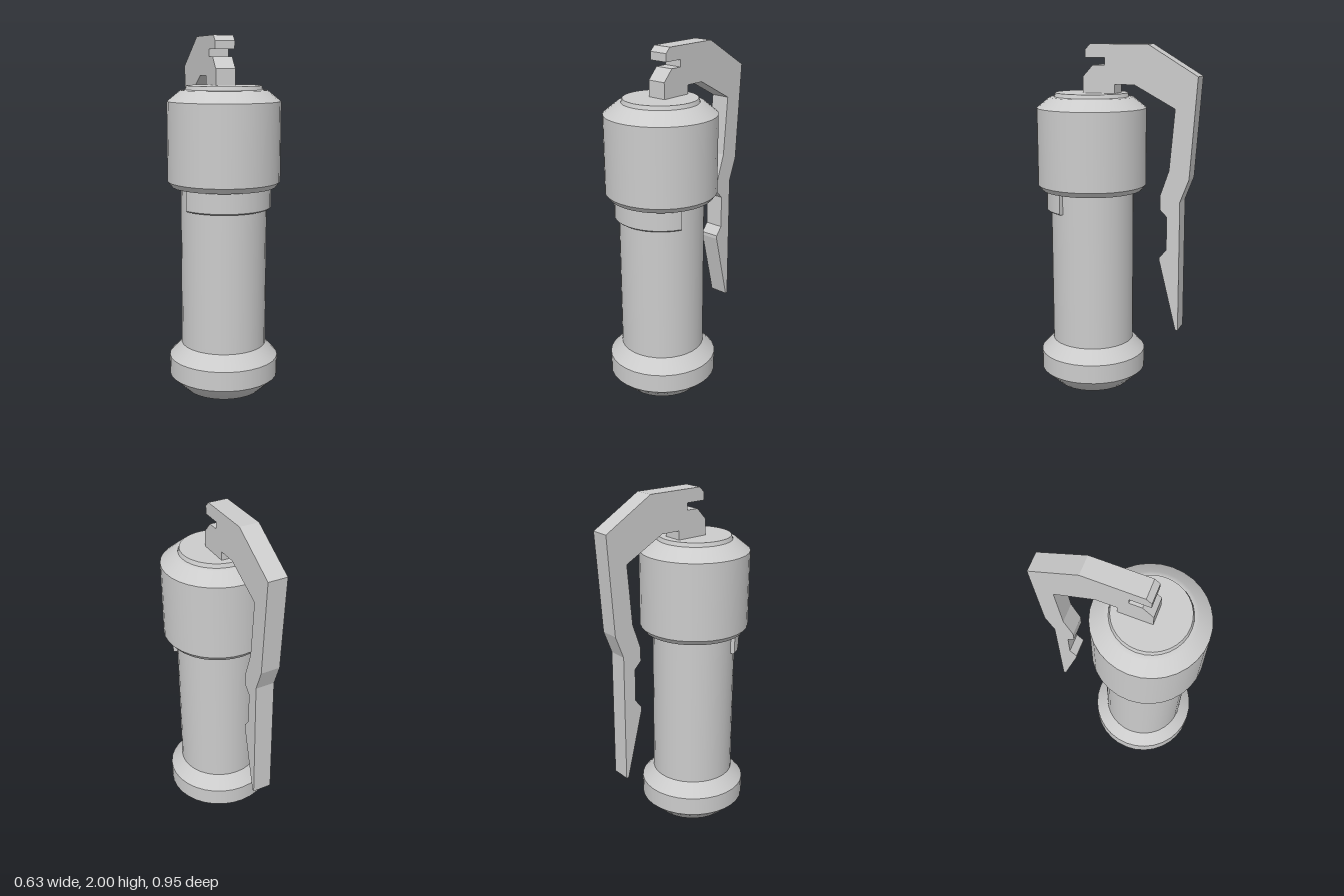
import * as THREE from 'three';
import { mergeGeometries } from 'three/addons/utils/BufferGeometryUtils.js';

const SIDES = 32;
const AXIS_Z = 0.16; // the round body sits forward of the lever

const material = new THREE.MeshStandardMaterial({ color: 0xcccccc });
const thinMaterial = new THREE.MeshStandardMaterial({ color: 0xcccccc, side: THREE.DoubleSide });

// Revolve several profile strips; each is smooth inside, with sharp edges between strips
function revolve(strips, sides = SIDES, start = 0, sweep = Math.PI * 2) {
  return mergeGeometries(strips.map((strip) =>
    new THREE.LatheGeometry(strip.map(([r, y]) => new THREE.Vector2(r, y)), sides, start, sweep)));
}

// Split a profile into single hard-edged strips
const hard = (profile) => profile.slice(1).map((p, i) => [profile[i], p]);

function outline(points) {
  return new THREE.Shape(points.map(([x, y]) => new THREE.Vector2(x, y)));
}

export function createModel() {
  const model = new THREE.Group();
  const add = (name, geometry, mat = material) => {
    const mesh = new THREE.Mesh(geometry, mat);
    mesh.name = name;
    model.add(mesh);
    return mesh;
  };

  // Foot: rounded-looking underside, straight rim, shoulder up to the tube
  add('base', revolve([
    [[0, 0], [0.22, 0], [0.31, 0.085]],
    ...hard([[0.31, 0.085], [0.31, 0.195], [0.24, 0.27]]),
  ])).position.z = AXIS_Z;

  add('tube', revolve([[[0.24, 0.27], [0.24, 1.175]]])).position.z = AXIS_Z;

  // Wide head with chamfered lower and upper rims
  add('head', revolve([
    ...hard([[0.24, 1.175], [0.29, 1.175], [0.314, 1.205], [0.314, 1.645]]),
    [[0.314, 1.645], [0.24, 1.705], [0.215, 1.708]],
  ])).position.z = AXIS_Z;

  add('topDisc', revolve(hard([[0.215, 1.705], [0.207, 1.73], [0, 1.73]]))).position.z = AXIS_Z;

  // Partial collar around the front, below the head
  const collarProfile = [[0.235, 1.055], [0.258, 1.055], [0.265, 1.062], [0.265, 1.176], [0.235, 1.176]];
  const half = (Math.PI * 2 / SIDES) * 6;
  add('collar', revolve(hard(collarProfile), 12, -half, half * 2)).position.z = AXIS_Z;
  for (const side of [-1, 1]) {
    const end = new THREE.ShapeGeometry(outline(collarProfile));
    end.rotateY(side * half - Math.PI / 2);
    add(side > 0 ? 'collarEndLeft' : 'collarEndRight', end, thinMaterial).position.z = AXIS_Z;
  }

  // Bent safety lever, drawn as [z, y] and given a constant width
  const leverPoints = [
    [0.19, 1.72], [0.19, 1.82], [0.13, 1.885], [0.06, 1.885], [0.06, 1.925],
    [0.175, 1.925], [0.175, 1.97], [0.145, 2.0], [-0.19, 2.0], [-0.475, 1.83],
    [-0.435, 1.27], [-0.385, 1.14], [-0.385, 0.385], [-0.37, 0.385],
    [-0.27, 0.79], [-0.27, 0.81], [-0.31, 0.86], [-0.31, 1.05], [-0.27, 1.09],
    [-0.27, 1.17], [-0.32, 1.315], [-0.35, 1.655], [-0.115, 1.78], [0, 1.78], [0, 1.72],
  ];
  const width = 0.112;
  const lever = new THREE.ExtrudeGeometry(outline(leverPoints.map(([z, y]) => [-z, y])), {
    depth: width, bevelEnabled: false,
  });
  lever.translate(0, 0, -width / 2);
  lever.rotateY(Math.PI / 2);
  add('lever', lever);

  return model;
}
